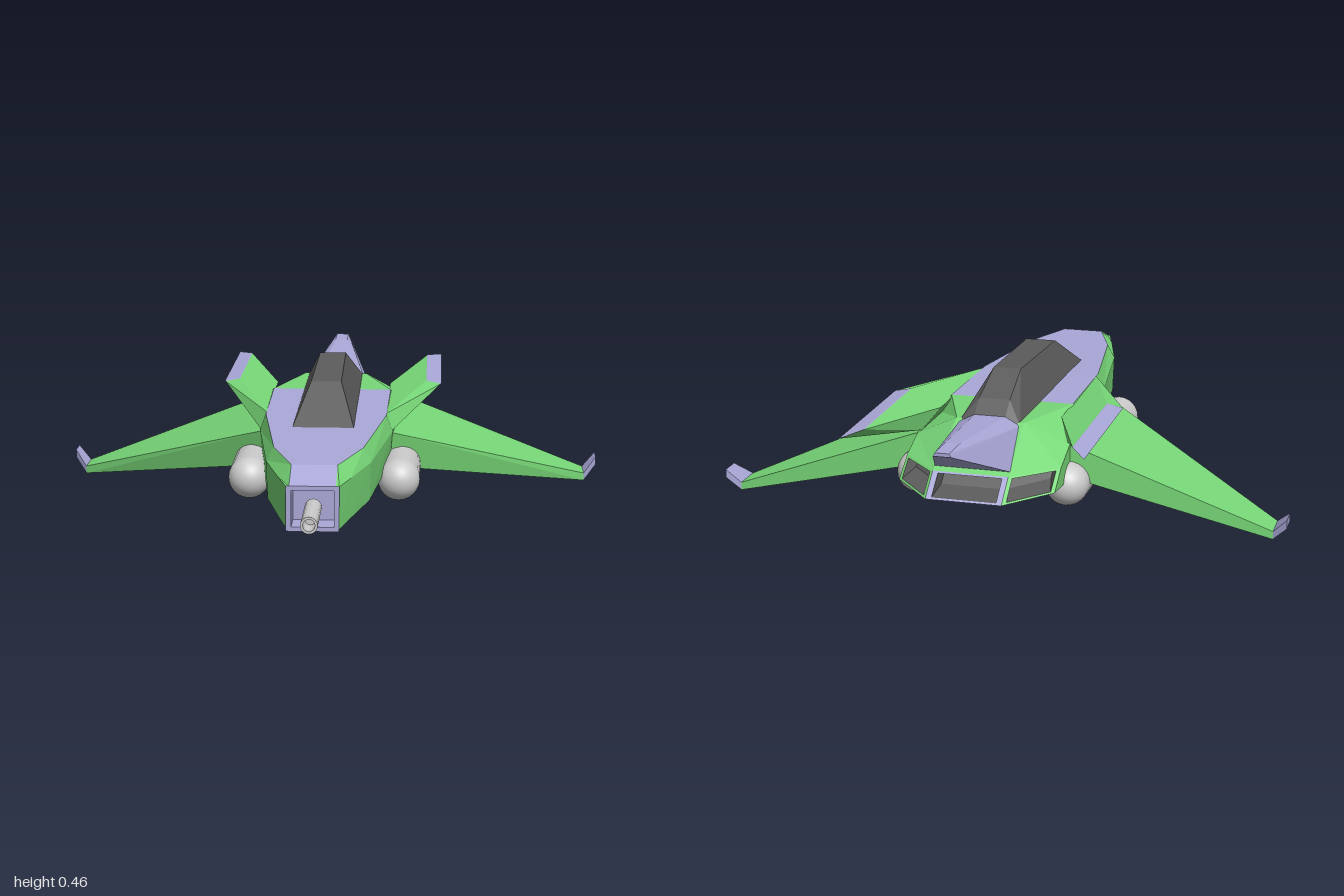
import * as THREE from 'three';
import { ConvexGeometry } from 'three/addons/geometries/ConvexGeometry.js';

const GREEN = 0x78d878, LILAC = 0xaaa8d8, DARK = 0x5c5c5c, GREY = 0xcccccc;

function part(name, color, geometry, flat = true) {
  const mesh = new THREE.Mesh(geometry, new THREE.MeshStandardMaterial({ color, flatShading: flat }));
  mesh.name = name;
  return mesh;
}

// Flat-faced geometry from a list of four-cornered faces
function quads(list) {
  const pos = [];
  for (const [a, b, c, d] of list) pos.push(...a, ...b, ...c, ...a, ...c, ...d);
  const g = new THREE.BufferGeometry();
  g.setAttribute('position', new THREE.Float32BufferAttribute(pos, 3));
  g.computeVertexNormals();
  return g;
}

const mirror = ([x, y, z]) => [-x, y, z];
const mix = (a, b, t) => a.map((v, i) => v + (b[i] - v) * t);
const solid = (points) => new ConvexGeometry(points.map((p) => new THREE.Vector3(...p)));
const symmetric = (points) => solid([...points, ...points.map(mirror)]);

// Framed opening: rim and a recess going inwards by the given offset
function opening(name, corners, margin, offset, rimColor, insideColor) {
  const group = new THREE.Group();
  group.name = name;
  const centre = [0, 1, 2].map((i) => corners.reduce((s, c) => s + c[i], 0) / 4);
  const inner = corners.map((c) => mix(c, centre, margin));
  const deep = inner.map((c) => c.map((v, i) => v + offset[i]));
  const band = (p, q) => p.map((c, i) => [c, p[(i + 1) % 4], q[(i + 1) % 4], q[i]]);
  group.add(part(name + 'Rim', rimColor, quads(band(corners, inner))));
  group.add(part(name + 'Recess', insideColor, quads([...band(inner, deep), deep])));
  return group;
}

export function createModel() {
  const model = new THREE.Group();
  model.name = 'spaceFighter';

  // Fuselage half-sections, front to back: bottom, lower side, upper side, top edge
  const flatSection = (z, ...pts) => pts.map(([x, y]) => [x, y, z]);
  const sections = [
    flatSection(0.84, [0.075, 0.14], [0.08, 0.15], [0.08, 0.28], [0.07, 0.28]),
    flatSection(0.74, [0.095, 0.14], [0.107, 0.152], [0.11, 0.28], [0.07, 0.32]),
    flatSection(0.54, [0.13, 0.14], [0.16, 0.157], [0.165, 0.28], [0.14, 0.325]),
    flatSection(0.13, [0.17, 0.14], [0.21, 0.17], [0.22, 0.28], [0.2, 0.335]),
    flatSection(-0.25, [0.18, 0.14], [0.25, 0.18], [0.25, 0.28], [0.205, 0.34]),
    [[0.16, 0.14, -0.58], [0.25, 0.17, -0.56], [0.25, 0.275, -0.47], [0.11, 0.345, -0.5]],
    [[0.12, 0.175, -0.8], [0.25, 0.18, -0.66], [0.25, 0.235, -0.58], [0.12, 0.24, -0.72]],
  ];
  const rings = sections.map((s) => [...s, ...[...s].reverse().map(mirror)]);
  const greenFaces = [], lilacFaces = [];
  for (let i = 0; i < rings.length - 1; i++) {
    for (let k = 0; k < 8; k++) {
      const n = (k + 1) % 8;
      const lilac = k === 7 || (k === 3 && i < 4);
      (lilac ? lilacFaces : greenFaces).push([rings[i][k], rings[i + 1][k], rings[i + 1][n], rings[i][n]]);
    }
  }
  model.add(part('fuselageSides', GREEN, quads(greenFaces)));
  model.add(part('fuselagePanels', LILAC, quads(lilacFaces)));

  // Nose opening with the gun barrel
  const nose = [[-0.08, 0.14, 0.84], [0.08, 0.14, 0.84], [0.08, 0.28, 0.84], [-0.08, 0.28, 0.84]];
  model.add(opening('noseIntake', nose, 0.2, [0, 0, -0.08], LILAC, LILAC));
  const barrelProfile = [[0.026, -0.1], [0.026, 0.1], [0.018, 0.1], [0.018, 0.03], [0, 0.03]];
  const barrel = part('gunBarrel', GREY,
    new THREE.LatheGeometry(barrelProfile.map((p) => new THREE.Vector2(...p)), 16), true);
  barrel.rotation.x = Math.PI / 2;
  barrel.position.set(0, 0.205, 0.9);
  model.add(barrel);

  // Rear exhausts: one in the middle, one angled on each side
  const [B, L, H, T] = sections[6];
  model.add(opening('centreExhaust', [B, mirror(B), mirror(T), T], 0.15, [0, 0.01, 0.1], LILAC, DARK));
  const sideFace = [L, B, T, H];
  model.add(opening('leftExhaust', sideFace, 0.17, [-0.02, 0.015, 0.08], GREEN, DARK));
  model.add(opening('rightExhaust', sideFace.map(mirror).reverse(), 0.17, [0.02, 0.015, 0.08], GREEN, DARK));

  // Canopy
  model.add(part('canopy', DARK, symmetric([
    [0.1, 0.33, 0.3], [0.05, 0.445, 0.12], [0.045, 0.46, -0.3],
    [0.05, 0.4, -0.45], [0.05, 0.355, -0.51], [0.1, 0.335, -0.51],
  ])));

  // Central tail sweeping up and back
  model.add(part('centreTail', LILAC, symmetric([
    [0.1, 0.335, -0.5], [0.05, 0.36, -0.5], [0.12, 0.25, -0.7],
    [0.035, 0.365, -0.7], [0.022, 0.395, -0.9], [0.028, 0.385, -1], [0.022, 0.396, -1],
  ])));

  // Wings, winglets, upper fins and pods on both sides
  const wingRoot = [[0.2, 0.28, 0.13], [0.22, 0.15, 0.09], [0.23, 0.28, -0.465], [0.23, 0.17, -0.465]];
  const wingTip = [[0.89, 0.03, -0.32], [0.89, 0.004, -0.32], [0.89, 0.03, -0.42], [0.89, 0.004, -0.42]];
  const wingletTop = [[0.935, 0.078, -0.37], [0.935, 0.05, -0.37], [0.935, 0.078, -0.44], [0.935, 0.05, -0.44]];
  const finRoot = [[0.215, 0.28, 0.13], [0.24, 0.28, -0.46], [0.2, 0.335, 0.1], [0.2, 0.335, -0.38]];
  const finTip = [[0.382, 0.355, -0.3], [0.382, 0.355, -0.83], [0.33, 0.365, -0.3], [0.33, 0.365, -0.76]];
  const finSeam = finRoot.map((p, i) => mix(p, finTip[i], 0.985));

  for (const [label, flip] of [['left', (p) => p], ['right', mirror]]) {
    const side = new THREE.Group();
    side.name = label + 'Side';
    const block = (name, color, ...ends) => side.add(part(label + name, color, solid(ends.flat().map(flip))));
    block('Wing', GREEN, wingRoot, wingTip);
    block('Winglet', LILAC, wingTip, wingletTop);
    block('UpperFin', GREEN, finRoot, finSeam);
    block('UpperFinEdge', LILAC, finSeam, finTip);

    const pod = part(label + 'Pod', GREY, new THREE.CapsuleGeometry(0.069, 0.732, 10, 24), false);
    pod.rotation.x = Math.PI / 2;
    pod.position.set(...flip([0.245, 0.15, -0.115]));
    side.add(pod);
    model.add(side);
  }
  return model;
}
